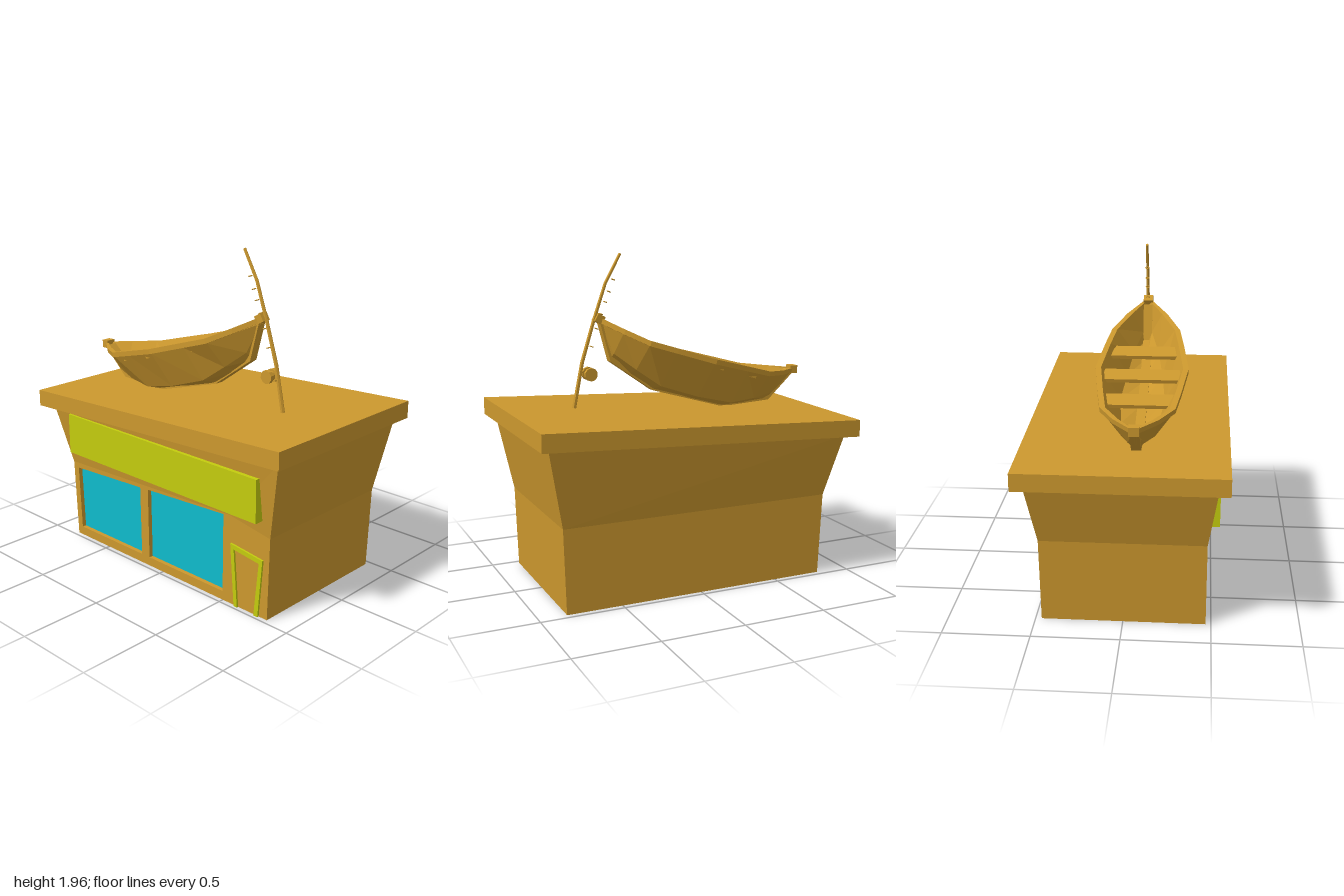
import * as THREE from 'three';

const mat = (color) => {
  const m = new THREE.MeshStandardMaterial({ flatShading: true });
  m.color.set(color);
  return m;
};
const wood = mat(0xcc982e), lime = mat(0xc4cc0e), cyan = mat(0x0fbccd);

function add(parent, name, geometry, material, x = 0, y = 0, z = 0) {
  const mesh = new THREE.Mesh(geometry, material);
  mesh.name = name;
  mesh.position.set(x, y, z);
  parent.add(mesh);
  return mesh;
}

const outline = (pts, Type = THREE.Shape) => new Type(pts.map(([x, y]) => new THREE.Vector2(x, y)));

function extrude(pts, depth, holes = []) {
  const shape = outline(pts);
  shape.holes = holes.map((h) => outline(h, THREE.Path));
  return new THREE.ExtrudeGeometry(shape, { depth, bevelEnabled: false });
}

// Flat polygons, each split as a fan from its first corner
function polygons(list) {
  const pos = [];
  for (const p of list)
    for (let i = 1; i < p.length - 1; i++) pos.push(...p[0], ...p[i], ...p[i + 1]);
  const g = new THREE.BufferGeometry();
  g.setAttribute('position', new THREE.Float32BufferAttribute(pos, 3));
  g.computeVertexNormals();
  return g;
}

// Surface through closed rings of equal length, with both ends capped
function loft(rings) {
  const faces = [];
  const n = rings[0].length;
  for (let i = 0; i < rings.length - 1; i++)
    for (let j = 0; j < n; j++) {
      const k = (j + 1) % n;
      faces.push([rings[i][j], rings[i][k], rings[i + 1][k], rings[i + 1][j]]);
    }
  faces.push([...rings[0]].reverse(), rings[rings.length - 1]);
  return polygons(faces);
}

function buildHouse() {
  const house = new THREE.Group();
  house.name = 'house';
  // Corner rings run front left, front right, back right, back left
  const a = [[-0.805, 0, 0.47], [0.835, 0, 0.47], [0.835, 0, -0.465], [-0.805, 0, -0.465]];
  const b = [[-0.825, 0.5, 0.47], [0.85, 0.5, 0.47], [0.85, 0.5, -0.47], [-0.825, 0.5, -0.47]];
  const c = [[-0.928, 0.875, 0.525], [0.942, 0.968, 0.525], [0.942, 0.968, -0.53], [-0.928, 0.875, -0.53]];
  const kink = [0.55, 0.55, 0.47];
  const faces = [[a[3], a[2], a[1], a[0]], [kink, b[1], c[1], c[0], b[0]]];
  for (let i = 1; i < 4; i++) {
    const k = (i + 1) % 4;
    faces.push([a[i], a[k], b[k], b[i]], [b[i], b[k], c[k], c[i]]);
  }
  add(house, 'walls', polygons(faces), wood);

  // Lower front wall with two recessed windows
  const windows = [
    [[-0.765, 0.055], [-0.187, 0.055], [-0.19, 0.5], [-0.78, 0.468]],
    [[-0.12, 0.055], [0.498, 0.055], [0.503, 0.54], [-0.122, 0.505]],
  ];
  add(house, 'frontWall', extrude([a[0], a[1], b[1], kink, b[0]], 0.03, windows), wood, 0, 0, 0.44);
  for (const w of windows)
    add(house, 'windowPane', new THREE.ShapeGeometry(outline(w)), cyan, 0, 0, 0.443);

  // Crooked door frame
  add(house, 'doorFrame', extrude([
    [0.595, 0], [0.62, 0], [0.593, 0.355], [0.78, 0.332],
    [0.745, 0], [0.775, 0], [0.806, 0.357], [0.567, 0.385],
  ], 0.02), lime, 0, 0, 0.462);

  add(house, 'signBoard', new THREE.BoxGeometry(1.575, 0.255, 0.085), lime, 0.013, 0.722, 0.4925);

  // Sloping roof slab
  add(house, 'roof', extrude([[-1, 0.87], [0.995, 0.965], [0.995, 1.07], [-1, 0.972]], 1.17),
    wood, 0, 0, -0.585);
  return house;
}

function buildBoat() {
  const boat = new THREE.Group();
  boat.name = 'boat';
  // Half stations: along, rim half width, rim height, chine half width, chine height, keel height
  const half = [
    [0, 0.27, 0.13, 0.15, -0.12, -0.149],
    [0.25, 0.236, 0.135, 0.125, -0.11, -0.149],
    [0.42, 0.208, 0.138, 0.095, -0.05, -0.095],
    [0.565, 0.125, 0.166, 0.045, 0.01, -0.04],
    [0.69, 0.022, 0.195, 0.012, 0.16, 0.155],
  ];
  const stations = [...half.slice(1).reverse().map(([u, ...r]) => [-u, ...r]), ...half];
  const rings = stations.map(([u, rw, ry, cw, cy, ky]) => {
    const inset = (w, d) => Math.max(w - d, 0.004);
    const outer = [[rw, ry], [rw, ry - 0.03], [inset(rw, 0.012), ry - 0.03], [cw, cy]];
    const inner = [[inset(cw, 0.018), Math.min(cy + 0.025, ry - 0.008)], [inset(rw, 0.032), ry]];
    const mirror = (pts) => pts.map(([w, y]) => [-w, y]).reverse();
    return [...outer, [0, ky], ...mirror(outer), ...mirror(inner), [0, ky + 0.025], ...inner]
      .map(([w, y]) => [u, y, w]);
  });
  add(boat, 'hull', loft(rings), wood);

  // Keel and stems as one curved beam
  const both = (pts) => [...pts.map(([u, v]) => [-u, v]), ...[...pts].reverse()];
  const under = both([[0.69, 0.165], [0.565, -0.042], [0.25, -0.151]]);
  const over = both([[0.655, 0.18], [0.535, -0.005], [0.24, -0.105]]).reverse();
  add(boat, 'keel', extrude([...under, ...over], 0.055), wood, 0, 0, -0.0275);

  for (const s of [-1, 1]) {
    const block = add(boat, 'stemBlock', new THREE.BoxGeometry(0.05, 0.05, 0.058), wood, s * 0.695, 0.188, 0);
    block.rotation.z = s * 0.25;
  }

  // Plank seats
  for (const s of [-1, 0, 1])
    add(boat, 'seat', new THREE.BoxGeometry(0.112, 0.022, s ? 0.4 : 0.48), wood, s * 0.257 - 0.02, 0.085, 0);

  boat.position.set(-0.195, 1.21, 0.07);
  boat.rotation.z = 0.28;
  return boat;
}

function buildRod() {
  const rod = new THREE.Group();
  rod.name = 'fishingRod';
  // Bent tapering pole
  const path = [[0.585, 1.06], [0.53, 1.33], [0.455, 1.57], [0.378, 1.79], [0.283, 1.96]];
  const rings = path.map(([x, y], i) => {
    const [p, q] = [path[Math.max(i - 1, 0)], path[Math.min(i + 1, path.length - 1)]];
    const dir = new THREE.Vector2(q[0] - p[0], q[1] - p[1]).normalize();
    const r = 0.013 - i * 0.001;
    return Array.from({ length: 6 }, (_, j) => {
      const t = (j / 6) * Math.PI * 2, w = Math.cos(t) * r;
      return [x + dir.y * w, y - dir.x * w, -Math.sin(t) * r];
    });
  });
  add(rod, 'pole', loft(rings), wood);

  // Line guides along the inner side
  for (const [x, y] of [[0.34, 1.81], [0.368, 1.74], [0.392, 1.68], [0.42, 1.61], [0.45, 1.525], [0.482, 1.42]]) {
    const guide = add(rod, 'lineGuide', new THREE.TorusGeometry(0.011, 0.003, 4, 8), wood, x - 0.012, y, 0);
    guide.rotation.set(Math.PI / 2, 0.35, 0);
  }

  // Reel with two rims and a core
  const drum = (name, r, depth, z) => {
    const g = new THREE.CylinderGeometry(r, r, depth, 10).rotateX(Math.PI / 2);
    add(rod, name, g, wood, 0.485, 1.257, z);
  };
  drum('reelCore', 0.028, 0.06, 0);
  for (const s of [-1, 1]) drum('reelRim', 0.04, 0.022, s * 0.025);

  rod.position.z = 0.067;
  return rod;
}

export function createModel() {
  const model = new THREE.Group();
  model.name = 'boatHouseShop';
  model.add(buildHouse(), buildBoat(), buildRod());
  return model;
}
